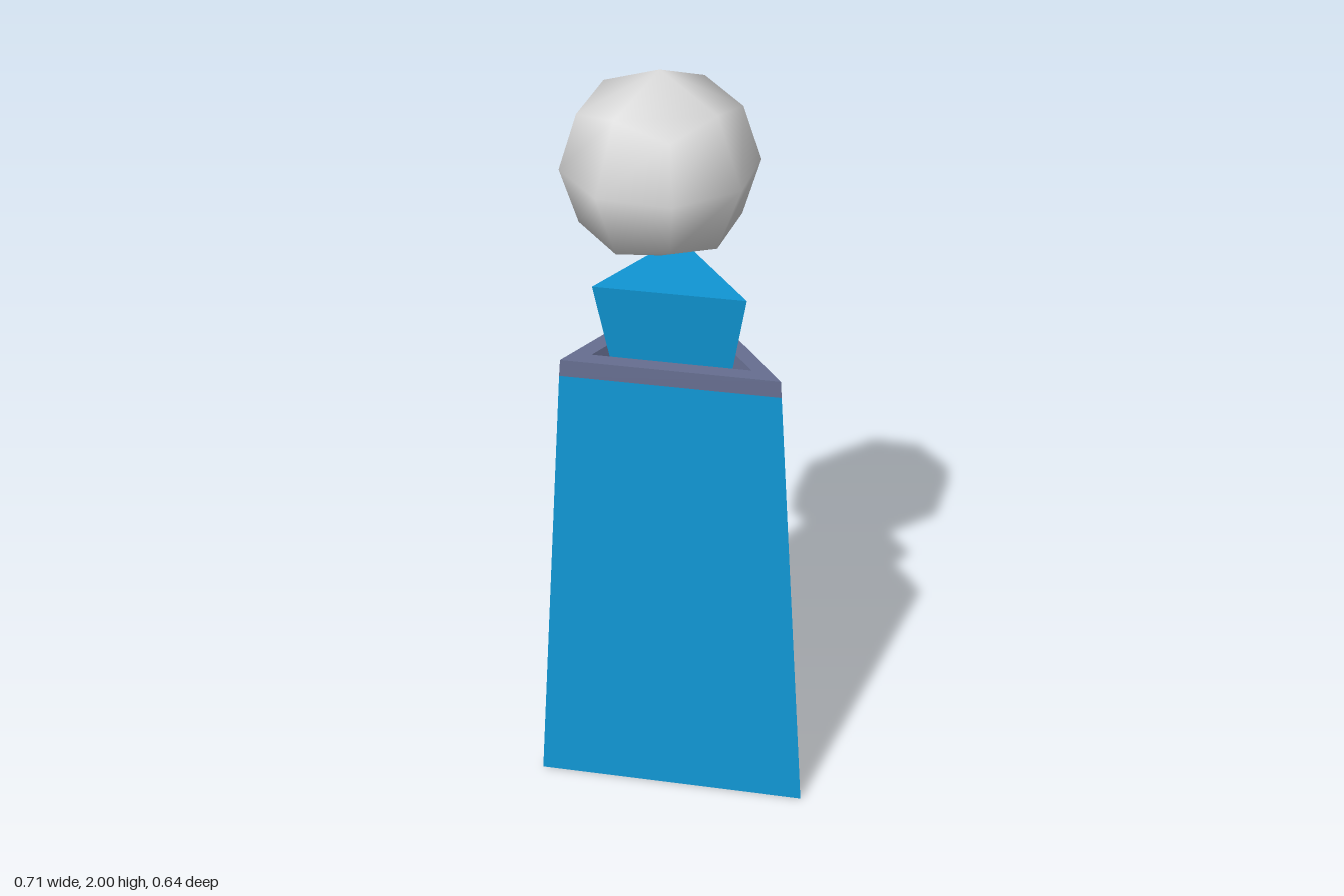
import * as THREE from 'three';

// Lofts flat-shaded walls through triangular sections [y, back x, tip x, half depth].
function triangleLoft(sections, capped) {
  const rings = sections.map(([y, back, tip, half]) => [
    new THREE.Vector3(back, y, -half),
    new THREE.Vector3(back, y, half),
    new THREE.Vector3(tip, y, 0),
  ]);
  const points = [];
  for (let i = 0; i < rings.length - 1; i++) {
    const low = rings[i], high = rings[i + 1];
    for (let j = 0; j < 3; j++) {
      const k = (j + 1) % 3;
      points.push(low[j], low[k], high[k], low[j], high[k], high[j]);
    }
  }
  if (capped) {
    const [a, b, c] = rings[0];
    points.push(a, c, b, ...rings[rings.length - 1]);
  }
  const geometry = new THREE.BufferGeometry().setFromPoints(points);
  geometry.computeVertexNormals();
  return geometry;
}

// Ball made by pushing a subdivided cube out to a sphere, with smooth normals.
function cubeSphere(radius) {
  const geometry = new THREE.BoxGeometry(2, 2, 2, 2, 2, 2);
  const { position, normal } = geometry.attributes;
  const v = new THREE.Vector3();
  for (let i = 0; i < position.count; i++) {
    v.fromBufferAttribute(position, i).normalize();
    normal.setXYZ(i, v.x, v.y, v.z);
    position.setXYZ(i, v.x * radius, v.y * radius, v.z * radius);
  }
  return geometry;
}

function material(name, color) {
  const m = new THREE.MeshStandardMaterial({ color });
  m.name = name;
  return m;
}

export function createModel() {
  const group = new THREE.Group();
  const blue = material('blue', 0x1096d4);
  const slate = material('slate', 0x666e90);
  const paleGrey = material('paleGrey', 0xdedede);

  const add = (name, geometry, mat) => {
    const mesh = new THREE.Mesh(geometry, mat);
    mesh.name = name;
    group.add(mesh);
    return mesh;
  };

  // Tapered three-sided body
  add('body', triangleLoft([
    [0, -0.285, 0.355, 0.32],
    [1.215, -0.242, 0.268, 0.255],
  ], true), blue);

  // Collar: outer wall, flat rim, then the sloping wall of the recess
  add('collar', triangleLoft([
    [1.215, -0.242, 0.268, 0.255],
    [1.26, -0.24, 0.265, 0.252],
    [1.26, -0.195, 0.172, 0.182],
    [1.215, -0.187, 0.155, 0.17],
  ], false), slate);

  // Neck flaring upward out of the recess
  add('neck', triangleLoft([
    [1.216, -0.167, 0.107, 0.136],
    [1.45, -0.195, 0.155, 0.175],
  ], true), blue);

  // Ball floating above the neck
  add('head', cubeSphere(0.25), paleGrey).position.set(-0.105, 1.75, 0.012);

  return group;
}
